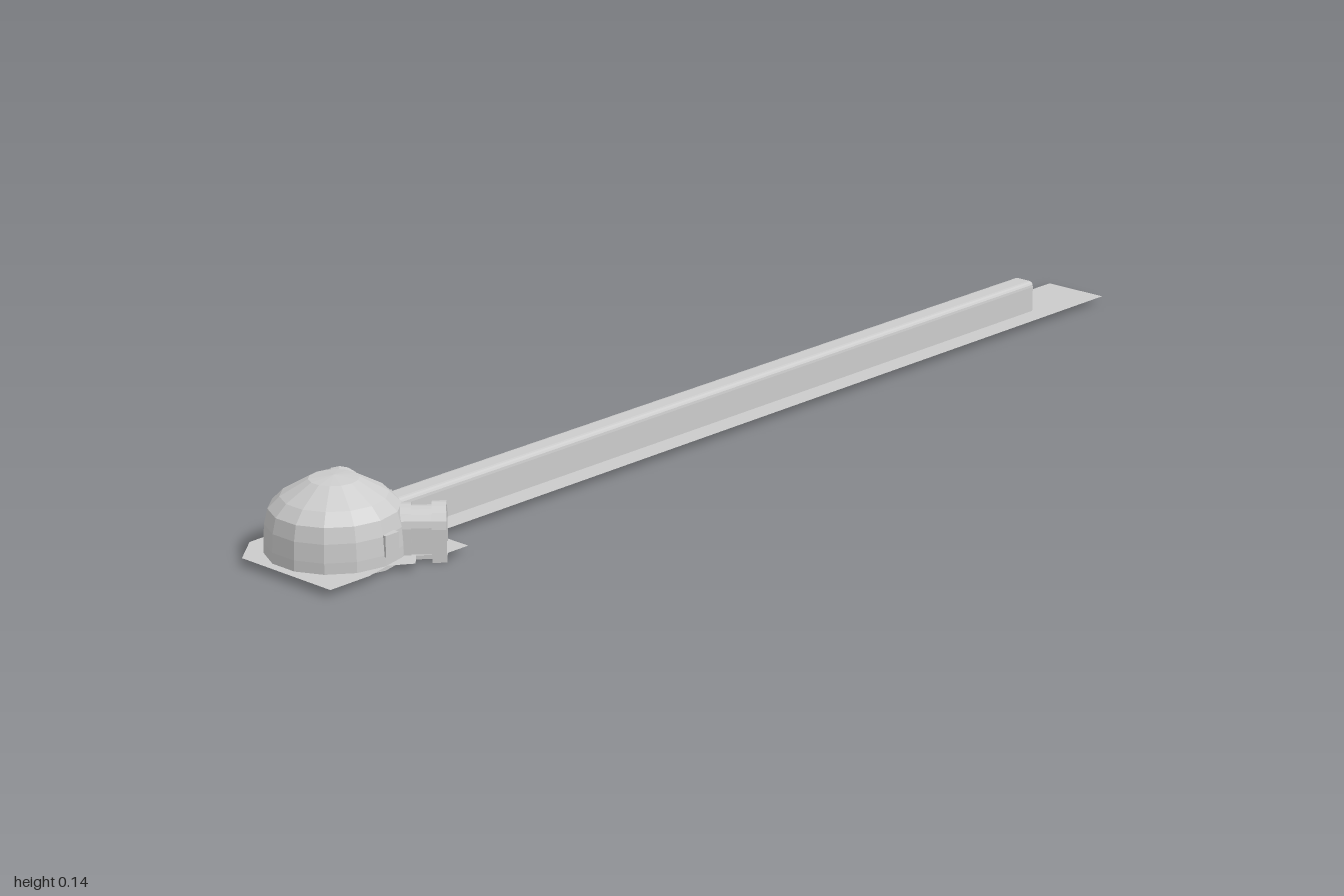
import * as THREE from 'three';

const concrete = new THREE.MeshStandardMaterial({ color: 0xcccccc });
const groundGrey = new THREE.MeshStandardMaterial({ color: 0xcbcbcb, side: THREE.DoubleSide });

const HUB = [0.003, 0, 0.875];

function add(parent, name, geometry, material = concrete) {
  const mesh = new THREE.Mesh(geometry, material);
  mesh.name = name;
  parent.add(mesh);
  return mesh;
}

// Faceted normals without touching the material
function faceted(geometry) {
  const g = geometry.index ? geometry.toNonIndexed() : geometry;
  g.computeVertexNormals();
  return g;
}

// Arch outline: straight walls with a rounded crown
function archPoints(width, bottom, top, rise, steps = 8) {
  const h = width / 2, pts = [new THREE.Vector2(-h, bottom), new THREE.Vector2(h, bottom)];
  for (let i = 0; i <= steps; i++) {
    const a = (i / steps) * Math.PI;
    pts.push(new THREE.Vector2(h * Math.cos(a), top - rise + rise * Math.sin(a)));
  }
  return pts;
}

function archPrism(width, bottom, top, rise, from, to, wall = 0) {
  const shape = new THREE.Shape(archPoints(width, bottom, top, rise));
  if (wall) {
    shape.holes.push(new THREE.Path(
      archPoints(width - 2 * wall, bottom + wall, top - wall, rise - wall * 0.5)));
  }
  const g = new THREE.ExtrudeGeometry(shape, { depth: to - from, bevelEnabled: false });
  return g.translate(0, 0, from);
}

export function createModel() {
  const model = new THREE.Group();
  model.name = 'domeWithTunnel';

  // Flat ground sheet: long strip widening around the dome
  const outline = [
    [-0.06, -1], [0.064, -1], [0.064, 0.755], [0.09, 0.725], [0.143, 0.725], [0.143, 0.78],
    [0.115, 0.81], [0.14, 0.835], [0.115, 0.87], [0.127, 0.92], [0.127, 1], [-0.075, 1],
    [-0.12, 0.945], [-0.122, 0.875], [-0.15, 0.84], [-0.12, 0.815], [-0.153, 0.79],
    [-0.153, 0.725], [-0.085, 0.725], [-0.06, 0.75],
  ];
  const ground = new THREE.ShapeGeometry(
    new THREE.Shape(outline.map(([x, z]) => new THREE.Vector2(x, -z))));
  ground.rotateX(-Math.PI / 2).translate(0, 0.012, 0);
  add(model, 'groundSheet', ground, groundGrey);

  // Faceted dome with closed underside
  const profile = [
    [0, 0.005], [0.112, 0.005], [0.112, 0.03], [0.11, 0.06], [0.104, 0.085],
    [0.085, 0.104], [0.04, 0.13], [0, 0.135],
  ].map(([x, y]) => new THREE.Vector2(x, y));
  const dome = add(model, 'dome', faceted(new THREE.LatheGeometry(profile, 14, Math.PI / 14)));
  dome.position.set(...HUB);

  // Long tunnel with softly rounded shoulders
  const w = 0.0225, r = 0.01, lo = 0.012, hi = 0.068;
  const section = new THREE.Shape();
  section.moveTo(-w, lo);
  section.lineTo(w, lo);
  section.lineTo(w, hi - r);
  section.quadraticCurveTo(w, hi, w - r, hi);
  section.lineTo(-w + r, hi);
  section.quadraticCurveTo(-w, hi, -w, hi - r);
  const tunnel = new THREE.ExtrudeGeometry(section, { depth: 1.64, bevelEnabled: false, curveSegments: 4 });
  add(model, 'tunnel', tunnel.translate(0.002, 0, -0.84));

  // Small posts above the tunnel mouth
  for (let i = -1; i <= 1; i++) {
    const post = add(model, 'tunnelPost', new THREE.CylinderGeometry(0.0025, 0.0025, 0.022, 6));
    post.position.set(0.002 + i * 0.013, 0.073, 0.768);
  }

  // Two arched entrances angled towards the back
  for (const side of [-1, 1]) {
    const entrance = new THREE.Group();
    entrance.name = side > 0 ? 'leftEntrance' : 'rightEntrance';
    entrance.position.set(...HUB);
    entrance.rotation.y = side * Math.PI * 0.75;
    add(entrance, 'passage', archPrism(0.058, 0.004, 0.082, 0.027, 0.06, 0.16));
    add(entrance, 'innerCollar', archPrism(0.066, 0.003, 0.086, 0.031, 0.08, 0.118));
    add(entrance, 'outerFrame', archPrism(0.07, 0, 0.088, 0.034, 0.15, 0.173, 0.006));
    model.add(entrance);

    // Low hatch on the dome flank
    const hatch = add(model, 'sideHatch', new THREE.BoxGeometry(0.012, 0.035, 0.028));
    hatch.position.set(HUB[0] + side * 0.109, 0.045, 0.862);
  }
  return model;
}
